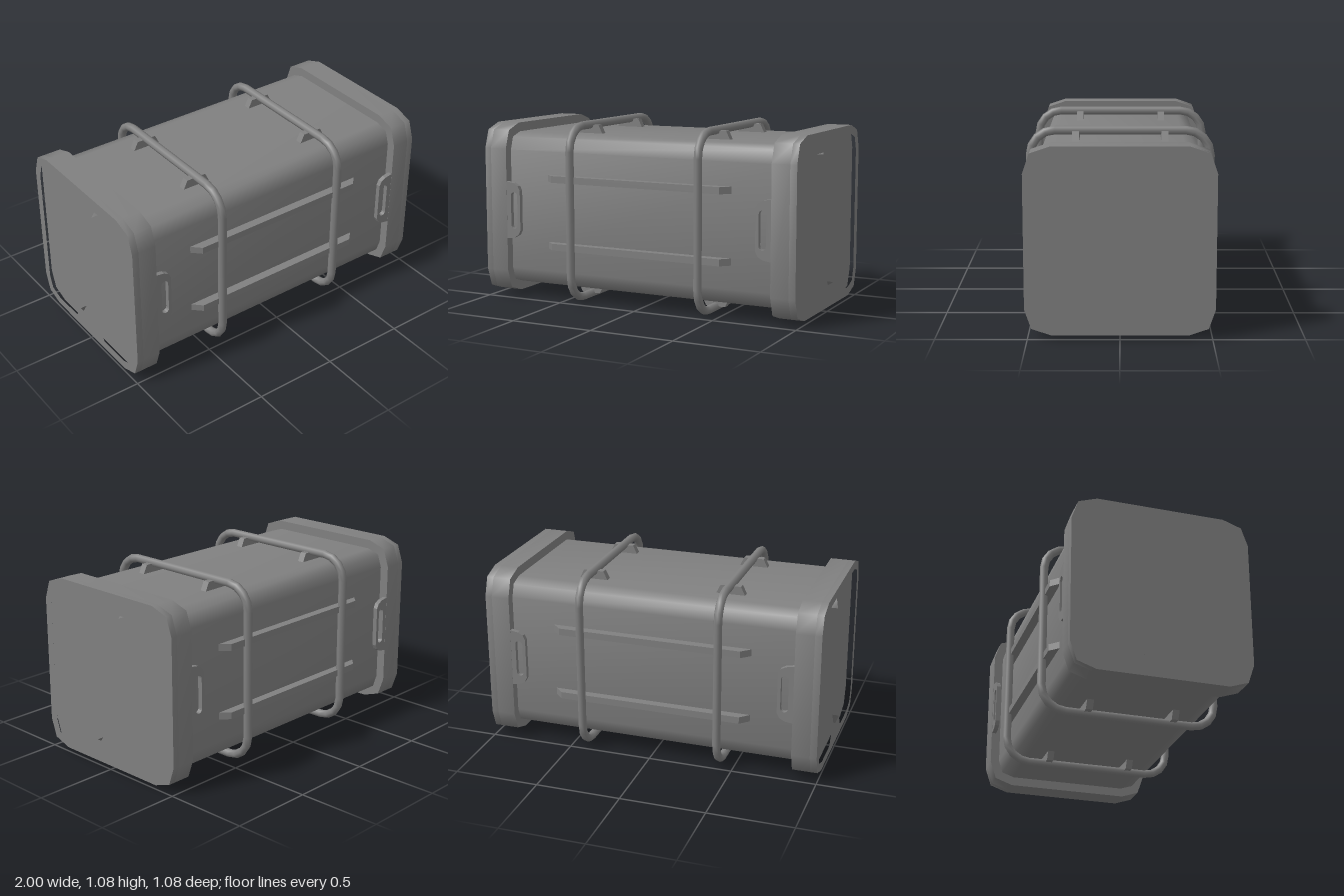
import * as THREE from 'three';
import { toCreasedNormals } from 'three/addons/utils/BufferGeometryUtils.js';

const CY = 0.5385; // height of the long axis

export function createModel() {
  const model = new THREE.Group();
  model.name = 'supplyContainer';
  const grey = new THREE.MeshStandardMaterial({ color: 0x808080 });
  grey.name = 'grey metal';

  const add = (name, geometry, parent = model) => {
    const mesh = new THREE.Mesh(geometry, grey);
    mesh.name = name;
    parent.add(mesh);
    return mesh;
  };
  const vectors = (pts) => pts.map(([x, y]) => new THREE.Vector2(x, y));

  // Square with softly cut corners: flat up to f, corner point at c, side at h
  const roundedSquare = (h, c, f) => vectors([
    [f, h], [c, c], [h, f], [h, -f], [c, -c], [f, -h],
    [-f, -h], [-c, -c], [-h, -f], [-h, f], [-c, c], [-f, h],
  ]);

  // Extrude a profile along x, from x0 to x1
  const alongX = (shape, x0, x1) => {
    const g = new THREE.ExtrudeGeometry(shape, { depth: x1 - x0, bevelEnabled: false });
    g.translate(0, 0, x0).rotateY(Math.PI / 2);
    return toCreasedNormals(g, 1.05);
  };

  // Main body
  add('body', alongX(new THREE.Shape(roundedSquare(0.461, 0.436, 0.36)), -0.9, 0.9)).position.y = CY;

  // End caps: solid collar plus a raised rim with a notched opening
  const outer = roundedSquare(0.515, 0.478, 0.37);
  const opening = roundedSquare(0.464, 0.438, 0.361);
  opening.splice(6, 0, ...vectors([[0.155, -0.464], [0.104, -0.384], [-0.104, -0.384], [-0.155, -0.464]]));
  opening.push(...vectors([[-0.155, 0.464], [-0.104, 0.384], [0.104, 0.384], [0.155, 0.464]]));
  const rim = new THREE.Shape(outer);
  rim.holes.push(new THREE.Path(opening));
  const collarGeo = alongX(new THREE.Shape(outer), 0.853, 0.96);
  const rimGeo = alongX(rim, 0.96, 1);

  // Handle tab with a rounded slot, on the inner edge of each cap
  const tab = new THREE.Shape(vectors([
    [0.86, -0.174], [0.805, -0.165], [0.775, -0.148], [0.761, -0.12],
    [0.761, 0.12], [0.775, 0.148], [0.805, 0.165], [0.86, 0.174],
  ]));
  const slot = new THREE.Path();
  slot.absarc(0.802, 0.088, 0.022, 0, Math.PI);
  slot.absarc(0.802, -0.088, 0.022, Math.PI, Math.PI * 2);
  tab.holes.push(slot);
  const tabGeo = new THREE.ExtrudeGeometry(tab, { depth: 0.027, bevelEnabled: false, curveSegments: 4 });

  for (const [side, turn] of [['left', 0], ['right', Math.PI]]) {
    const cap = new THREE.Group();
    cap.name = side + 'EndCap';
    cap.position.y = CY;
    cap.rotation.y = turn;
    add('collar', collarGeo, cap);
    add('rim', rimGeo, cap);
    add('handleTab', tabGeo, cap).position.z = 0.487;
    add('handleTab', tabGeo, cap).position.z = -0.514;
    model.add(cap);
  }

  // Bars with sloping ends, standing on the body surface
  const bar = (half, slope) => {
    const shape = new THREE.Shape(vectors([
      [-half, 0.45], [half, 0.45], [half, 0.46], [half - slope, 0.511], [slope - half, 0.511], [-half, 0.46],
    ]));
    return new THREE.ExtrudeGeometry(shape, { depth: 0.04, bevelEnabled: false }).translate(0, 0, -0.02);
  };
  const railGeo = bar(0.595, 0.052);
  const clipGeo = bar(0.085, 0.025);
  for (const s of [-1, 1]) {
    // Long rails, front and back
    for (const y of [-0.202, 0.202]) {
      const rail = add('sideRail', railGeo);
      rail.rotation.x = s * Math.PI / 2;
      rail.position.y = CY + y;
    }
    // Short ring supports, top and bottom
    for (const x of [-0.415, 0.415]) for (const z of [-0.252, 0.252]) {
      const clip = add('ringSupport', clipGeo);
      clip.rotation.x = s > 0 ? 0 : Math.PI;
      clip.position.set(x, CY, z);
    }
  }

  // Rounded square rings: a torus whose quarters are pushed out to the corners
  const R = 0.141, r = 0.025, sides = 8, steps = 20;
  const ring = new THREE.TorusGeometry(R, r, sides, steps);
  const { position, normal } = ring.attributes;
  for (let j = 0; j <= sides; j++) for (let i = 0; i <= steps; i++) {
    const quarter = Math.floor(i / 5) % 4;
    const a = (quarter + (i % 5) / 4) * Math.PI / 2;
    const t = j / sides * Math.PI * 2;
    const mid = (quarter + 0.5) * Math.PI / 2;
    const d = R + r * Math.cos(t), n = j * (steps + 1) + i;
    position.setXYZ(n,
      Math.sign(Math.cos(mid)) * 0.372 + d * Math.cos(a),
      Math.sign(Math.sin(mid)) * 0.372 + d * Math.sin(a),
      r * Math.sin(t));
    normal.setXYZ(n, Math.cos(t) * Math.cos(a), Math.cos(t) * Math.sin(a), Math.sin(t));
  }
  ring.rotateY(Math.PI / 2);
  for (const x of [-0.413, 0.413]) add('ring', ring).position.set(x, CY, 0);

  return model;
}
